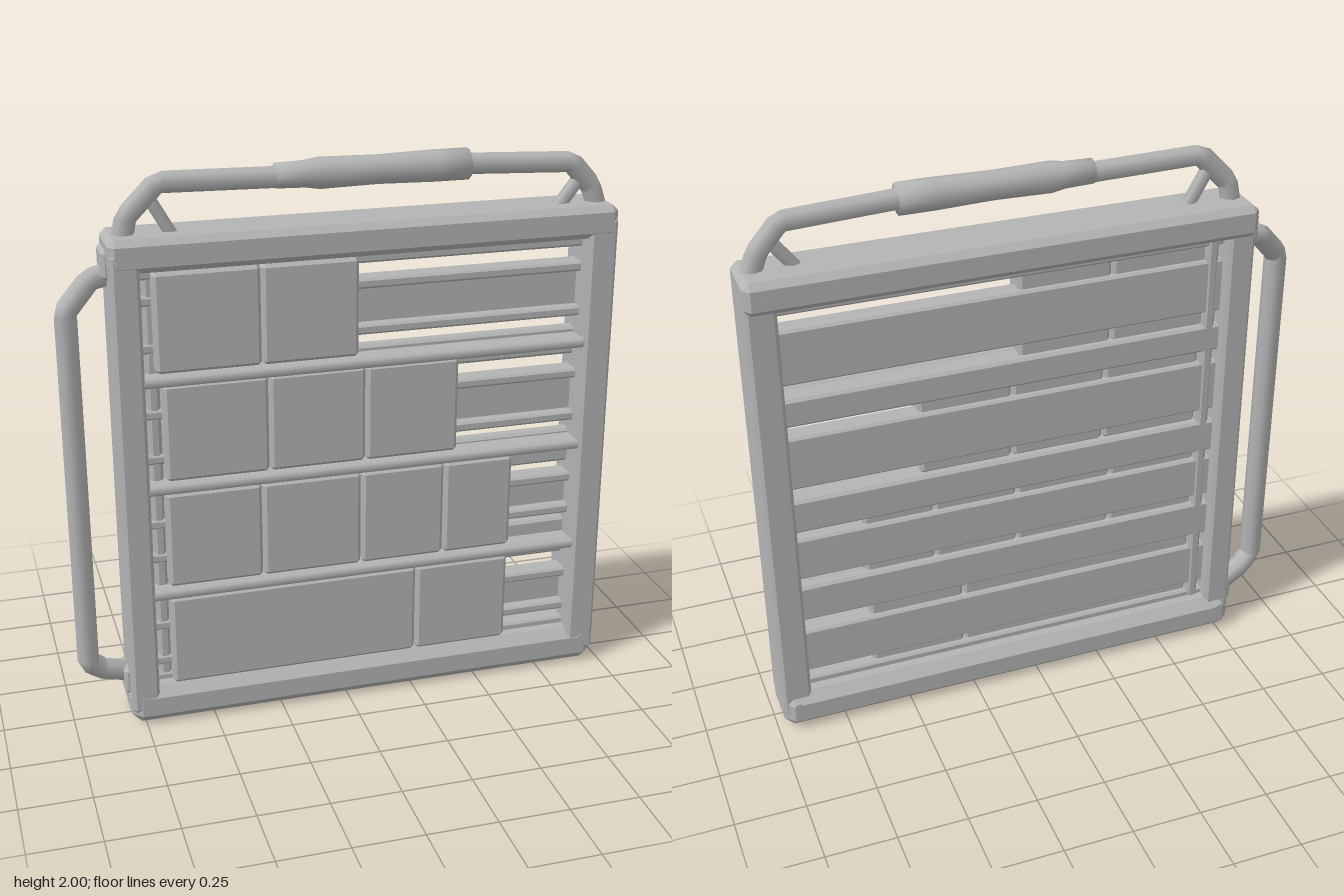
import * as THREE from 'three';
import { ConvexGeometry } from 'three/addons/geometries/ConvexGeometry.js';

const steel = new THREE.MeshStandardMaterial({ color: 0xb4b4b4 });
steel.name = 'plain grey';

// Box with every edge and corner cut at an angle
function chamferBox(w, h, d, c) {
  const pts = [];
  for (const x of [-1, 1]) for (const y of [-1, 1]) for (const z of [-1, 1]) {
    const a = x * w / 2, b = y * h / 2, e = z * d / 2;
    pts.push(
      new THREE.Vector3(a, b - y * c, e - z * c),
      new THREE.Vector3(a - x * c, b, e - z * c),
      new THREE.Vector3(a - x * c, b - y * c, e));
  }
  return new ConvexGeometry(pts);
}

export function createModel() {
  const model = new THREE.Group();
  model.name = 'carryingRack';

  const group = name => {
    const g = new THREE.Group();
    g.name = name;
    model.add(g);
    return g;
  };
  const add = (name, geometry, parent) => {
    const mesh = new THREE.Mesh(geometry, steel);
    mesh.name = name;
    parent.add(mesh);
    return mesh;
  };
  // Chamfered block given by its limits on each axis
  const block = (name, x0, x1, y0, y1, z0, z1, c, parent) => {
    const mesh = add(name, chamferBox(x1 - x0, y1 - y0, z1 - z0, c), parent);
    mesh.position.set((x0 + x1) / 2, (y0 + y1) / 2, (z0 + z1) / 2);
  };
  // Round bar bent through straight runs
  const bentBar = (name, points, radius, sides, parent) => {
    const path = new THREE.CurvePath();
    const v = points.map(p => new THREE.Vector3(...p));
    for (let i = 1; i < v.length; i++) path.add(new THREE.LineCurve3(v[i - 1], v[i]));
    add(name, new THREE.TubeGeometry(path, 64, radius, sides), parent);
  };

  // Outer frame
  const frame = group('frame');
  block('topBar', -0.8, 0.975, 1.67, 1.785, -0.11, 0.11, 0.022, frame);
  block('bottomBar', -0.8, 0.975, 0, 0.14, -0.11, 0.11, 0.036, frame);
  block('rightBar', -0.797, -0.7, 0.05, 1.74, -0.09, 0.108, 0.012, frame);
  block('leftBar', 0.87, 0.974, 0.05, 1.74, -0.09, 0.108, 0.012, frame);
  for (const x of [-0.75, 0.925]) for (const y of [0.1, 1.73]) {
    const bolt = add('cornerBolt', new THREE.CylinderGeometry(0.014, 0.014, 0.222, 6), frame);
    bolt.rotation.x = Math.PI / 2;
    bolt.position.set(x, y, 0);
  }
  // Inner lips of the frame, and the upright beside the blocks
  block('topLip', -0.71, 0.88, 1.63, 1.69, -0.04, 0.04, 0.008, frame);
  block('bottomLip', -0.71, 0.88, 0.1, 0.165, -0.04, 0.04, 0.008, frame);
  block('innerUpright', -0.685, -0.64, 0.1, 1.7, -0.045, 0.035, 0.012, frame);

  // Channel slats: a flat back plate with lips turned to the front
  for (const [y, h] of [[1.475, 0.1], [1.075, 0.1], [0.685, 0.083], [0.285, 0.088]]) {
    const slat = group('slat');
    block('slatPlate', -0.71, 0.88, y - h, y + h, -0.04, 0, 0.01, slat);
    for (const s of [-1, 1]) {
      const c = y + s * (h - 0.018);
      block('slatLip', -0.71, 0.88, c - 0.018, c + 0.018, -0.04, 0.04, 0.008, slat);
    }
  }

  // Row dividers: broad back strip, shelf and round front rail
  for (const [y, y0, y1] of [[1.29, 1.22, 1.325], [0.9, 0.8, 0.93], [0.5, 0.425, 0.57]]) {
    const divider = group('rowDivider');
    block('dividerStrip', -0.71, 0.88, y0, y1, -0.045, 0.005, 0.01, divider);
    block('dividerShelf', -0.71, 0.88, y - 0.015, y + 0.015, -0.03, 0.075, 0.005, divider);
    const rail = add('frontRail', new THREE.CylinderGeometry(0.021, 0.021, 1.59, 8), divider);
    rail.rotation.z = Math.PI / 2;
    rail.position.set(0.085, y, 0.08);
  }

  // Stored blocks in each row: y range and block edges along x
  const rows = [
    [1.315, 1.665, [-0.66, -0.295, 0.045]],
    [0.925, 1.275, [-0.64, -0.275, 0.07, 0.41]],
    [0.525, 0.88, [-0.645, -0.305, 0.055, 0.365, 0.625]],
    [0.14, 0.48, [-0.645, 0.265, 0.62]],
  ];
  const blocks = group('storedBlocks');
  for (const [y0, y1, xs] of rows) {
    for (let i = 1; i < xs.length; i++) {
      block('storedBlock', xs[i - 1] + 0.002, xs[i] - 0.002, y0, y1, -0.02, 0.084, 0.012, blocks);
    }
  }

  // Top handle with corner braces and a thicker grip
  const topHandle = group('topHandle');
  bentBar('handleBar', [[-0.745, 1.74, 0.01], [-0.725, 1.84, 0.012], [-0.62, 1.948, 0.018],
    [-0.2, 1.94, 0.02], [0.44, 1.945, 0.02], [0.82, 1.928, 0.018],
    [0.9, 1.84, 0.012], [0.935, 1.74, 0.01]], 0.037, 8, topHandle);
  bentBar('cornerBrace', [[-0.66, 1.92, 0.012], [-0.575, 1.77, 0.012]], 0.024, 6, topHandle);
  bentBar('cornerBrace', [[0.88, 1.9, 0.012], [0.78, 1.77, 0.012]], 0.024, 6, topHandle);
  const gripProfile = [[0, -0.35], [0.042, -0.35], [0.045, -0.25], [0.053, -0.2],
    [0.049, 0], [0.054, 0.2], [0.054, 0.32], [0, 0.32]].map(p => new THREE.Vector2(...p));
  const grip = add('grip', new THREE.LatheGeometry(gripProfile, 10), topHandle);
  grip.rotation.z = -Math.PI / 2;
  grip.position.set(0.12, 1.945, 0.02);

  // Side handle
  const sideHandle = group('sideHandle');
  bentBar('sideHandleBar', [[-0.76, 1.65, -0.03], [-0.85, 1.635, -0.01], [-0.937, 1.54, 0.015],
    [-0.937, 0.24, 0.015], [-0.885, 0.195, 0], [-0.76, 0.15, -0.03]], 0.04, 8, sideHandle);
  for (const y of [1.69, 0.15]) {
    block('handleMount', -0.815, -0.76, y - 0.05, y + 0.05, -0.075, 0.045, 0.012, sideHandle);
  }

  return model;
}
